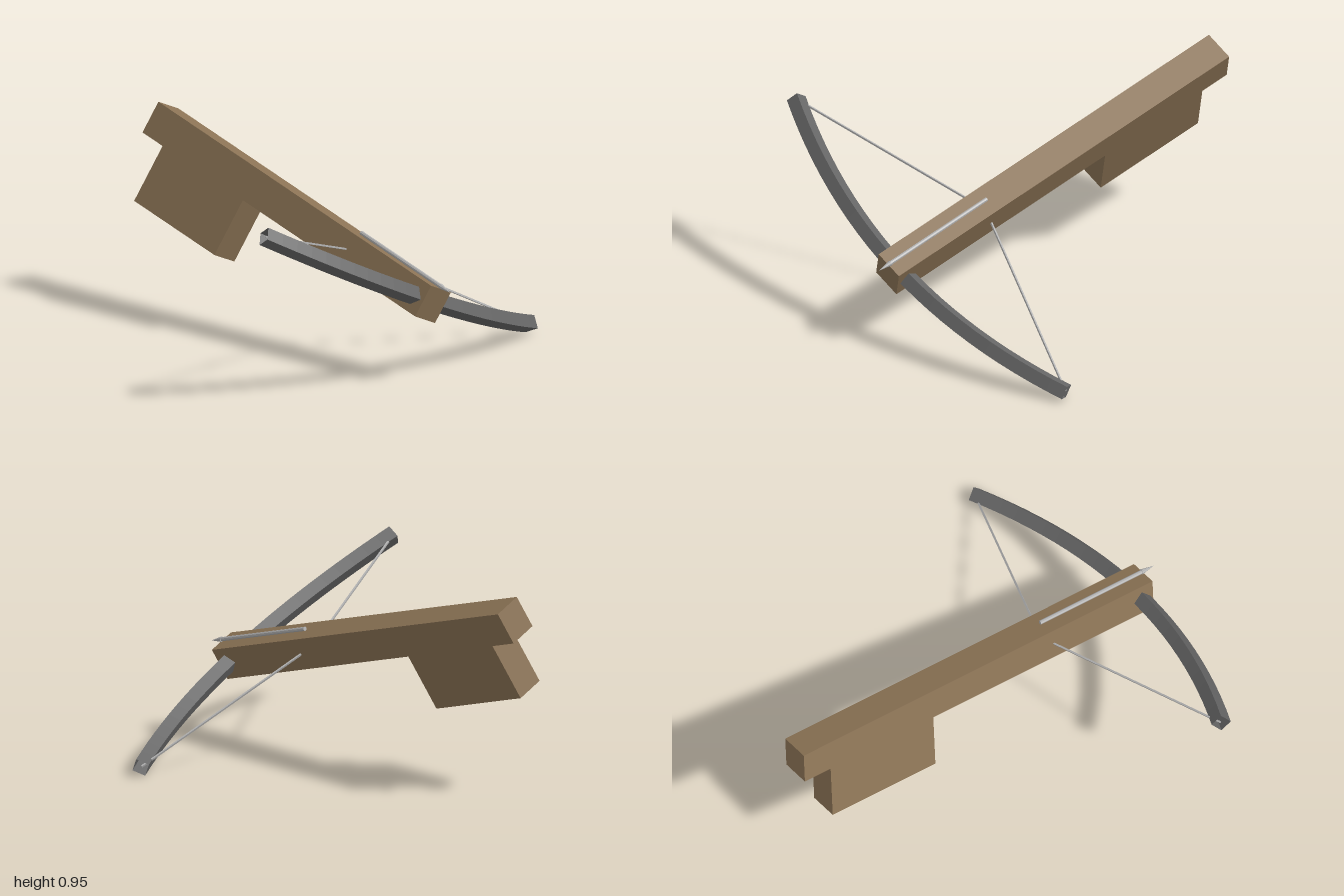
import * as THREE from 'three';

export function createModel() {
  const material = (name, color, options = {}) =>
    Object.assign(new THREE.MeshStandardMaterial({ color, flatShading: true, ...options }), { name });
  const wood = material('wood brown', 0x8b7355);
  const bowGrey = material('dark grey', 0x666666, { side: THREE.DoubleSide });
  const steel = material('light grey', 0xb0b0b0);

  // The crossbow is built level and pointing along +z, then tilted as a whole.
  const crossbow = new THREE.Group();
  crossbow.name = 'crossbow';

  const add = (name, geometry, mat, x = 0, y = 0, z = 0) => {
    const mesh = new THREE.Mesh(geometry, mat);
    mesh.name = name;
    mesh.position.set(x, y, z);
    crossbow.add(mesh);
    return mesh;
  };

  // Stock and the block grip flush under its rear
  add('stock', new THREE.BoxGeometry(0.147, 0.16, 1.96), wood);
  add('grip', new THREE.BoxGeometry(0.147, 0.286, 0.577), wood, 0, -0.223, -0.547);

  // Curved bow limbs: an open tube with a diamond section
  const bowCurve = new THREE.QuadraticBezierCurve3(
    new THREE.Vector3(-0.982, 0, 0.72),
    new THREE.Vector3(0, 0, 1.12),
    new THREE.Vector3(0.982, 0, 0.72));
  add('bow', new THREE.TubeGeometry(bowCurve, 24, 0.045, 4), bowGrey);

  // Drawn string: one straight strand from each tip to the stock
  const up = new THREE.Vector3(0, 1, 0);
  const nock = new THREE.Vector3(0, 0, 0.4);
  for (const side of [-1, 1]) {
    const tip = new THREE.Vector3(side * 0.975, 0, 0.72);
    const along = tip.clone().sub(nock);
    const strand = add(side > 0 ? 'leftString' : 'rightString',
      new THREE.CylinderGeometry(0.006, 0.006, along.length(), 4), steel);
    strand.position.copy(nock).add(tip).multiplyScalar(0.5);
    strand.quaternion.setFromUnitVectors(up, along.normalize());
  }

  // Bolt lying on top of the stock, with a pointed head
  const shaft = new THREE.CylinderGeometry(0.01, 0.01, 0.57, 8).rotateX(Math.PI / 2);
  add('boltShaft', shaft, steel, 0, 0.09, 0.685);
  const head = new THREE.ConeGeometry(0.013, 0.07, 8).rotateX(Math.PI / 2);
  add('boltHead', head, steel, 0, 0.09, 1.005);

  // Tilt: nose down and rolled toward the left
  const forward = new THREE.Vector3(-0.0347, -0.245, 0.969).normalize();
  const vertical = forward.clone().cross(new THREE.Vector3(0.915, -0.398, -0.068)).normalize();
  const across = vertical.clone().cross(forward);
  crossbow.quaternion.setFromRotationMatrix(new THREE.Matrix4().makeBasis(across, vertical, forward));
  crossbow.position.set(0.02, 0.608, -0.028);

  const model = new THREE.Group();
  model.name = 'model';
  model.add(crossbow);
  return model;
}
